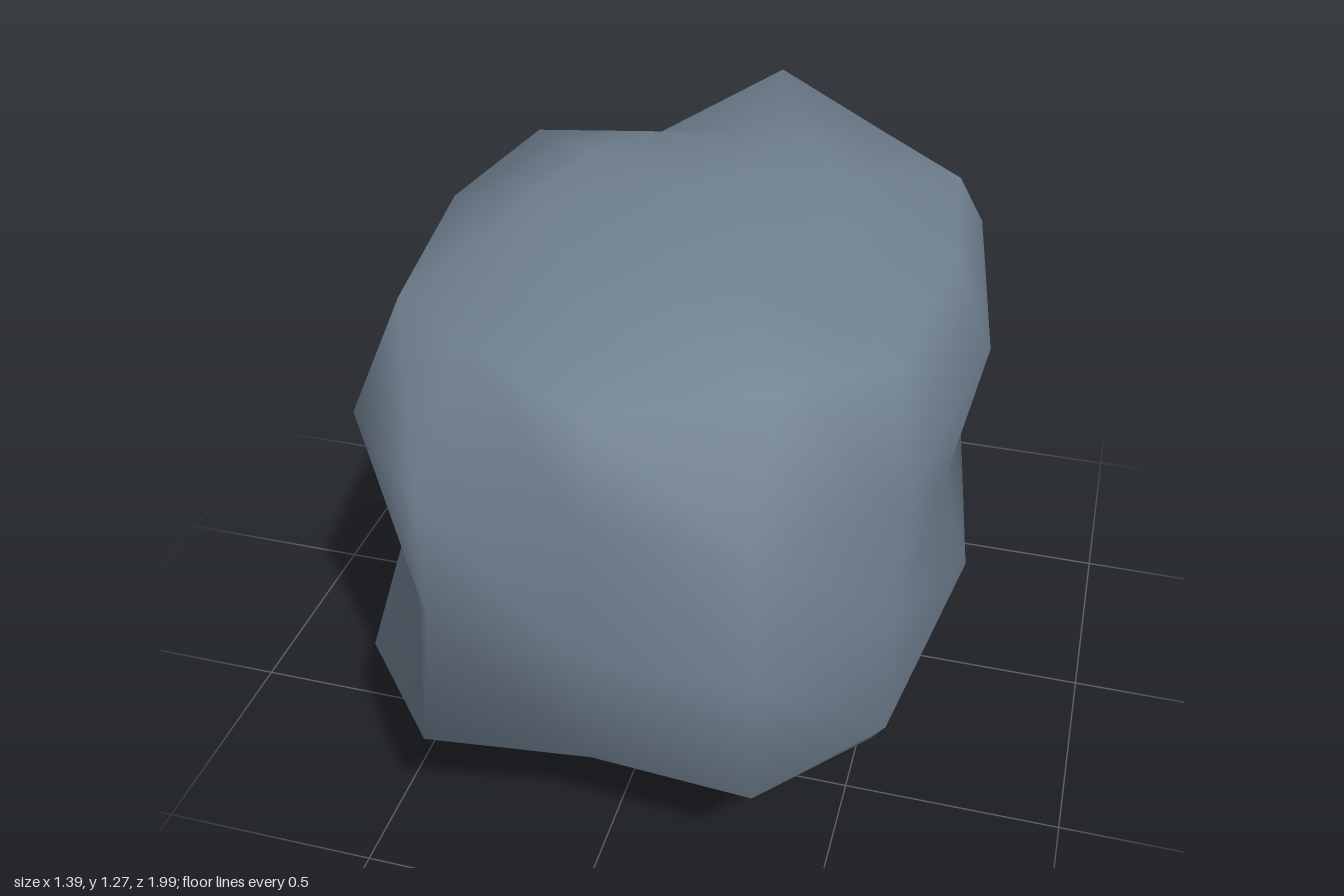
import * as THREE from 'three';
import { mergeVertices } from 'three/addons/utils/BufferGeometryUtils.js';

const SIDES = 12, RINGS = 8;

// One quarter of each ring, from the side (x axis) round to the end (z axis)
const pole = [[0, 0], [0, 0], [0, 0], [0, 0]];
const cap = [[0.35, 0], [0.31, 0.21], [0.185, 0.34], [0, 0.37]];
const shoulder = [[0.595, 0], [0.545, 0.45], [0.335, 0.615], [0, 0.63]];
const wall = [[0.66, 0], [0.595, 0.62], [0.345, 0.88], [0, 0.875]];
const quarters = [pole, cap, shoulder, wall, wall, wall, shoulder, cap, pole];
const heights = [1.275, 1.235, 1.17, 0.955, 0.64, 0.33, 0.1, 0.02, 0];

// Knobs and dents: 'side,ring' -> position (side 0 is -x, 3 is +z, 6 is +x, 9 is -z)
const moved = {
  // ledges along the top at the front and back, with a hollow beside the back one
  '3,2': [0, 1.205, 0.86], '9,2': [0, 1.2, -0.89], '10,2': [-0.32, 1.08, -0.58],
  // front
  '2,5': [-0.33, 0.41, 0.99], '4,5': [0.36, 0.33, 0.9], '4,4': [0.36, 0.64, 0.9],
  '3,4': [0, 0.64, 0.91], '1,4': [-0.54, 0.64, 0.5], '1,5': [-0.6, 0.33, 0.66],
  // back
  '9,3': [0.02, 0.9, -1], '10,3': [-0.33, 0.97, -0.9], '10,4': [-0.33, 0.64, -0.98],
  '10,6': [-0.31, 0.12, -0.93], '7,4': [0.61, 0.64, -0.84],
  '8,3': [0.36, 0.95, -0.9], '8,4': [0.36, 0.64, -0.9], '8,5': [0.36, 0.33, -0.9],
  // left and right sides
  '6,3': [0.69, 0.95, 0], '6,4': [0.62, 0.58, 0], '6,5': [0.69, 0.325, 0],
  '0,4': [-0.64, 0.64, 0], '0,5': [-0.7, 0.34, -0.05],
  // underside
  '6,7': [0.27, 0, 0],
};

function place(side, ring) {
  const key = side + ',' + ring;
  if (moved[key]) return moved[key];
  const half = side % 6;
  const [x, z] = quarters[ring][Math.min(half, 6 - half)];
  const signX = side > 3 && side < 9 ? 1 : -1;
  const signZ = side < 6 ? 1 : -1;
  // the rings sink slightly at the four corners
  const corner = half === 1 || half === 5;
  const sink = corner && (ring === 2 || ring === 6) ? 0.02 * Math.sign(4 - ring) : 0;
  return [signX * x, heights[ring] - sink, signZ * z];
}

export function createModel() {
  const group = new THREE.Group();
  group.name = 'rock';

  const stone = new THREE.MeshStandardMaterial({ color: 0x708090 });
  stone.name = 'slate grey stone';

  // Reshape a coarse sphere ring by ring, then weld its seam for smooth normals
  const sphere = new THREE.SphereGeometry(1, SIDES, RINGS);
  const p = sphere.attributes.position;
  for (let n = 0; n < p.count; n++) {
    const side = (n % (SIDES + 1)) % SIDES;
    const ring = Math.floor(n / (SIDES + 1));
    p.setXYZ(n, ...place(side, ring));
  }
  sphere.deleteAttribute('uv');
  sphere.deleteAttribute('normal');
  const geometry = mergeVertices(sphere, 1e-4);
  geometry.computeVertexNormals();

  const boulder = new THREE.Mesh(geometry, stone);
  boulder.name = 'boulder';
  group.add(boulder);
  return group;
}
